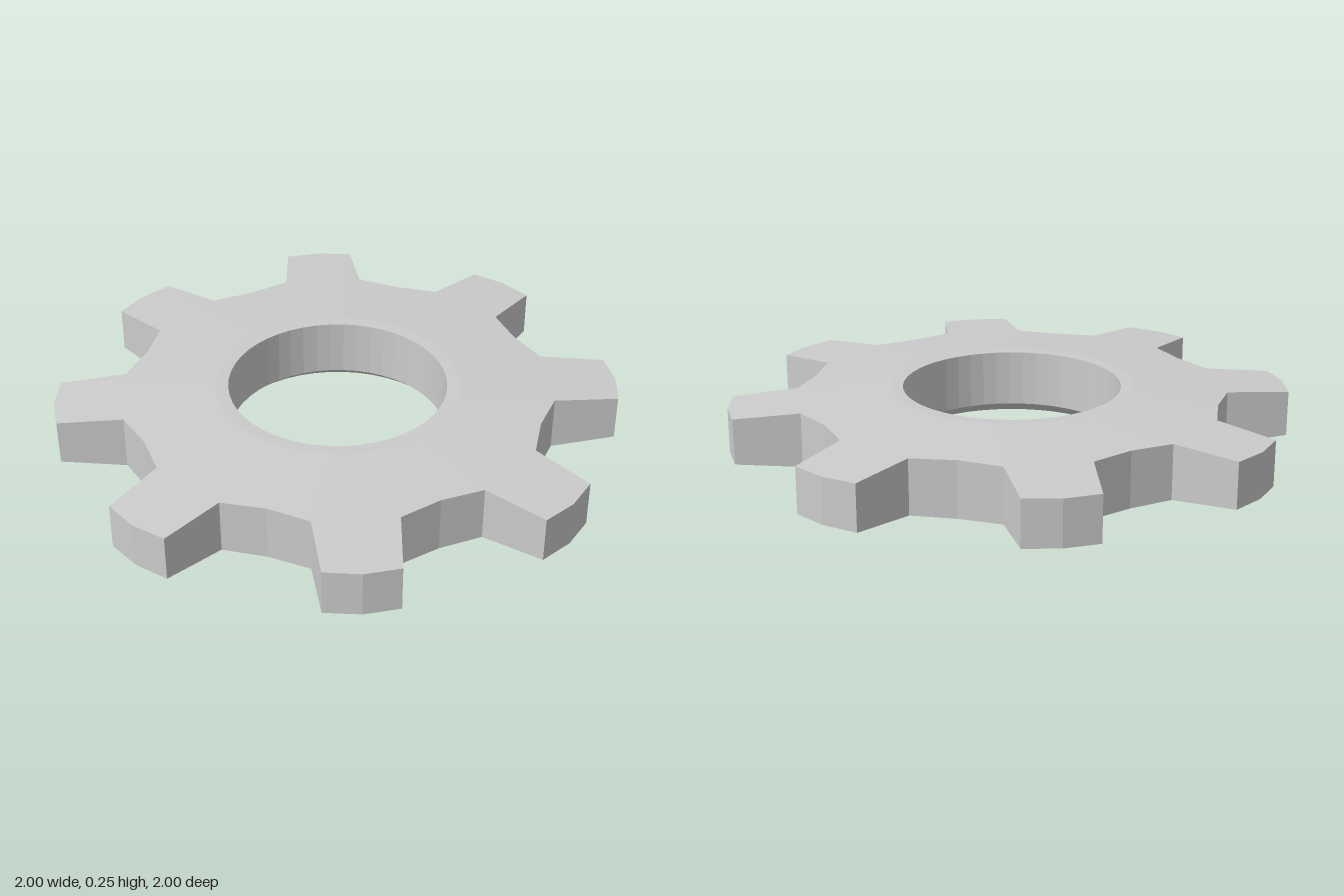
import * as THREE from 'three';

const TEETH = 8;
const PHASE = -11.3; // degrees, turn of the first tooth

// Outline of one tooth and its valley: [rim angle, rim radius, bore angle], degrees from the tooth centre
const TOOTH = [
  [-10.8, 0.775, -15],
  [-7.3, 1.003, -7.5],
  [0, 1.013, 0],
  [7.3, 1.003, 7.5],
  [10.8, 0.775, 15],
  [22.5, 0.743, 22.5],
];

const polar = (deg, r, y) => {
  const a = THREE.MathUtils.degToRad(deg);
  return [r * Math.sin(a), y, -r * Math.cos(a)];
};

// Closed cross-section: bore, flat collar, sloping face, rim, underside and bottom chamfer
function section(rimAngle, rimRadius, boreAngle) {
  const slope = (rimRadius - 0.437) * 0.07;
  return [
    polar(boreAngle, 0.392, 0.244),
    polar(boreAngle, 0.437, 0.245),
    polar(rimAngle, rimRadius, 0.245 - slope),
    polar(rimAngle, rimRadius, slope),
    polar(boreAngle, 0.437, 0),
    polar(boreAngle, 0.392, 0.038),
  ];
}

export function createModel() {
  const sections = [];
  for (let k = 0; k < TEETH; k++) {
    const turn = PHASE + (k * 360) / TEETH;
    for (const [rim, r, bore] of TOOTH) sections.push(section(turn + rim, r, turn + bore));
  }

  // Skin neighbouring cross-sections around the full circle
  const positions = [];
  sections.forEach((a, i) => {
    const b = sections[(i + 1) % sections.length];
    a.forEach((p, j) => {
      const n = (j + 1) % a.length;
      positions.push(...p, ...b[j], ...b[n], ...p, ...b[n], ...a[n]);
    });
  });
  const geometry = new THREE.BufferGeometry();
  geometry.setAttribute('position', new THREE.Float32BufferAttribute(positions, 3));
  geometry.computeVertexNormals();

  const gear = new THREE.Mesh(
    geometry,
    new THREE.MeshStandardMaterial({ color: 0xcccccc, flatShading: true })
  );
  gear.name = 'gearWheel';

  const group = new THREE.Group();
  group.name = 'gear';
  group.add(gear);
  return group;
}
